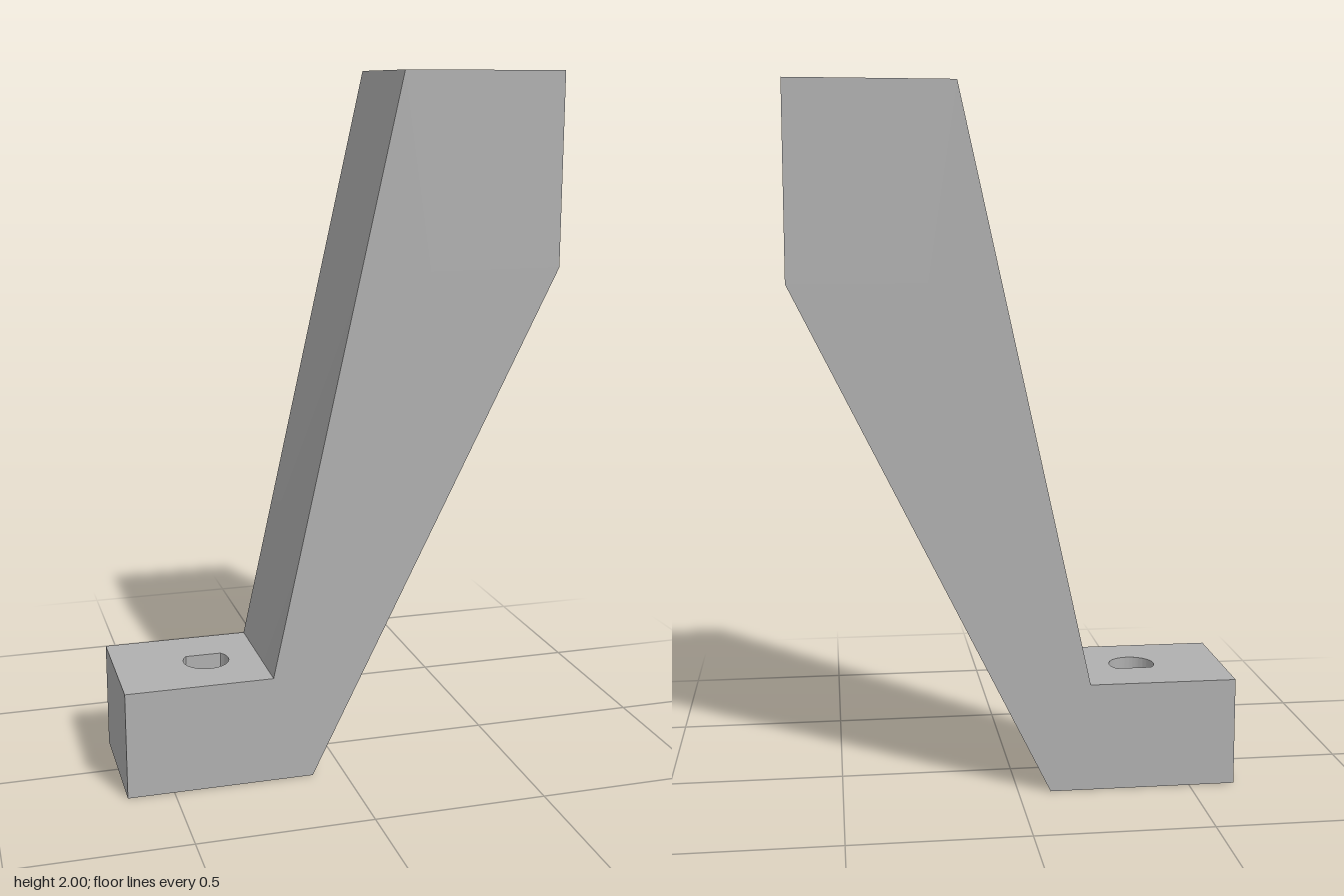
import * as THREE from 'three';
import { toCreasedNormals } from 'three/addons/utils/BufferGeometryUtils.js';

const HALF = 0.1925;   // half the width in z
const POCKET = 0.25;   // x of the upper hole's floor

// Teardrop hole: a circle with tangents meeting at a tip in the given direction
function teardrop(cx, cy, r, tip, dir) {
  const a = Math.acos(r / tip);
  const path = new THREE.Path();
  path.moveTo(cx + tip * Math.cos(dir), cy + tip * Math.sin(dir));
  path.absarc(cx, cy, r, dir + a, dir - a + Math.PI * 2, false);
  path.closePath();
  return path;
}

function extrude(points, depth, hole) {
  const shape = new THREE.Shape(points.map(([x, y]) => new THREE.Vector2(x, y)));
  if (hole) shape.holes.push(hole);
  return new THREE.ExtrudeGeometry(shape, { depth, bevelEnabled: false, curveSegments: 32 });
}

const rect = (x0, y0, x1, y1) => [[x0, y0], [x1, y0], [x1, y1], [x0, y1]];

export function createModel() {
  const group = new THREE.Group();
  group.name = 'bracket';
  const grey = new THREE.MeshStandardMaterial({ color: 0xb0b0b0 });
  grey.name = 'grey';

  const add = (name, geometry) => {
    const mesh = new THREE.Mesh(toCreasedNormals(geometry, 0.4), grey);
    mesh.name = name;
    group.add(mesh);
  };

  // Foot with a vertical through hole
  add('foot', extrude(rect(-0.633, -HALF, -0.208, HALF), 0.312,
    teardrop(-0.365, 0, 0.067, 0.106, Math.PI / 2)).rotateX(-Math.PI / 2));

  // Slanted arm, stepped at the top to receive the mounting pad
  add('arm', extrude([
    [-0.208, 0], [-0.093, 0], [0.633, 1.457], [POCKET, 1.457],
    [POCKET, 2], [0.167, 2], [-0.208, 0.312],
  ], HALF * 2).translate(0, 0, -HALF));

  // Mounting pad with a blind hole opening to the side
  add('mountingPad', extrude(rect(-HALF, 1.457, HALF, 2), 0.633 - POCKET,
    teardrop(0, 1.73, 0.084, 0.126, 0)).rotateY(Math.PI / 2).translate(POCKET, 0, 0));

  return group;
}
